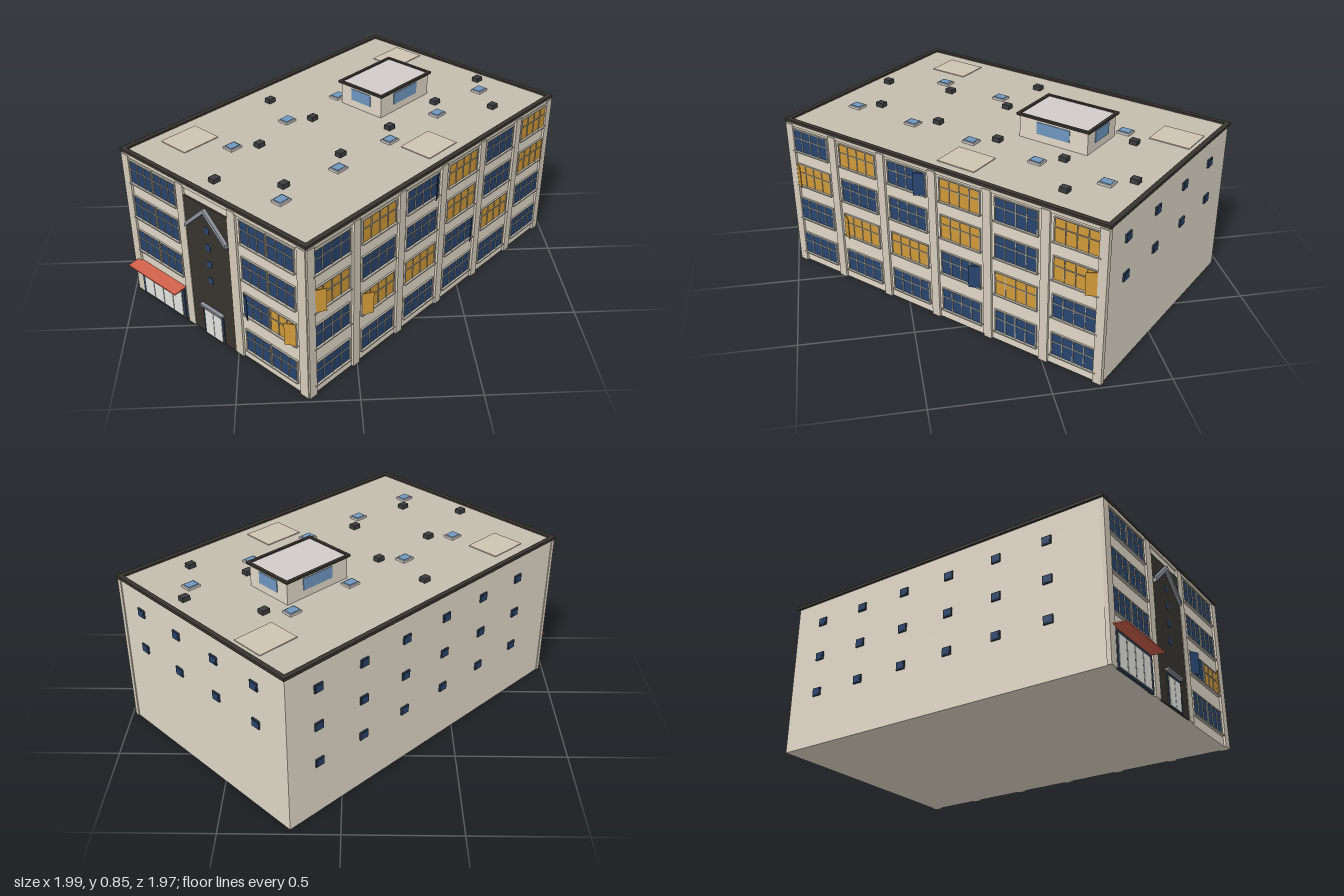
import * as THREE from 'three';

const mat = (color, side = THREE.FrontSide) => new THREE.MeshStandardMaterial({ color, side });
const M = {
  wall: mat(0xe0d8c8), pilaster: mat(0xd6cdbc), roof: mat(0xc4bdae), dark: mat(0x38342f),
  glass: mat(0x27446e), lit: mat(0xd09a38), frame: mat(0xb9b3a6), sky: mat(0x6f97c0),
  awning: mat(0xd0604c), white: mat(0xe4e4e0), steel: mat(0x8d929c), patch: mat(0xcfc4b2),
  navy: mat(0x2c3a4c), pale: mat(0xd2ccca), vent: mat(0x3c3c40),
};

// Box whose y is given at its bottom
function box(parent, name, m, w, h, d, x, y, z) {
  const b = new THREE.Mesh(new THREE.BoxGeometry(w, h, d), m);
  b.position.set(x, y + h / 2, z);
  b.name = name;
  parent.add(b);
  return b;
}

// A facade group: local x runs along the wall, local z points outward
function facade(parent, name, angle, dist) {
  const g = new THREE.Group();
  g.name = name;
  g.rotation.y = angle;
  g.position.set(Math.sin(angle) * dist, 0, Math.cos(angle) * dist);
  parent.add(g);
  return g;
}

// Glazed window with frame, bars and an optional sash standing ajar
function paneWindow(parent, x, y, w, h, cols, glass, ajar) {
  const g = new THREE.Group();
  g.name = 'window';
  g.position.set(x, y, 0);
  box(g, 'glass', glass, w, h, 0.006, 0, -h / 2, 0.001);
  box(g, 'sill', M.frame, w + 0.012, 0.006, 0.016, 0, -h / 2 - 0.006, 0.006);
  box(g, 'head', M.frame, w + 0.006, 0.004, 0.01, 0, h / 2, 0.003);
  for (let i = 0; i <= cols; i++) {
    const edge = i === 0 || i === cols;
    box(g, 'upright', M.frame, edge ? 0.005 : 0.0035, h, 0.009, -w / 2 + (w * i) / cols, -h / 2, 0.003);
  }
  box(g, 'transom', M.frame, w, 0.0035, 0.009, 0, h * 0.1, 0.003);
  if (ajar) {
    const hinge = new THREE.Group();
    hinge.name = 'openSash';
    hinge.position.set(ajar * w / 2, 0, 0.006);
    hinge.rotation.y = ajar * 0.5;
    box(hinge, 'sashPane', glass, w / cols, h, 0.004, -ajar * w / cols / 2, -h / 2, 0);
    g.add(hinge);
  }
  parent.add(g);
}

function smallWindow(parent, x, y) {
  box(parent, 'smallWindowFrame', M.navy, 0.044, 0.038, 0.014, x, y - 0.019, 0);
  box(parent, 'smallWindowGlass', M.glass, 0.032, 0.028, 0.004, x, y - 0.014, 0.006);
}

// Flat slab surrounded by a rim
function rimmedRoof(parent, name, w, d, x, z, y, top, rim, slab) {
  box(parent, name, slab, w - rim, 0.01, d - rim, x, y - 0.01, z);
  for (const s of [-1, 1]) {
    box(parent, name + 'Rim', M.dark, w, top - y + 0.004, rim, x, y - 0.004, z + s * (d - rim) / 2);
    box(parent, name + 'Rim', M.dark, rim, top - y + 0.004, d - rim * 2, x + s * (w - rim) / 2, y - 0.004, z);
  }
}

export function createModel() {
  const model = new THREE.Group();
  model.name = 'building';
  const b = new THREE.Group();
  b.name = 'block';
  b.rotation.y = Math.PI / 4;
  model.add(b);

  const HL = 0.834, HW = 0.544, ROWS = [0.103, 0.293, 0.472, 0.648];
  box(b, 'walls', M.wall, HL * 2, 0.73, HW * 2, 0, 0, 0);
  rimmedRoof(b, 'roof', 1.686, 1.106, 0, 0, 0.736, 0.745, 0.022, M.roof);

  // Long front: six bays between pilasters, some windows lit
  const long = facade(b, 'longFront', 0, HW);
  const litRows = ['000000', '011010', '100101', '010101'];
  const ajarSide = { '3,2': 1, '2,0': -1, '1,3': 1, '2,5': 1, '1,1': -1 };
  for (let i = 0; i <= 6; i++) {
    const end = i === 0 ? 1 : i === 6 ? -1 : 0;
    box(long, 'pilaster', M.pilaster, 0.04, 0.725, 0.022, (-0.84 + 0.28 * i) + end * 0.021, 0, 0);
    if (i === 6) break;
    const x = -0.7 + 0.28 * i;
    ROWS.forEach((y, r) => paneWindow(long, x, y, 0.204, 0.106, 4,
      litRows[r][i] === '1' ? M.lit : M.glass, ajarSide[r + ',' + i]));
  }
  box(long, 'topBand', M.pilaster, 1.67, 0.014, 0.014, 0, 0.716, 0);

  // Entrance end: two window bays either side of a dark stair bay
  const entry = facade(b, 'entranceEnd', -Math.PI / 2, HL);
  for (const x of [-0.525, -0.166, 0.145, 0.525])
    box(entry, 'pilaster', M.pilaster, 0.045, 0.725, 0.02, x, 0, 0);
  box(entry, 'topBand', M.pilaster, 1.09, 0.014, 0.014, 0, 0.716, 0);
  [-0.428, -0.274, 0.26, 0.412].forEach((x, i) => ROWS.forEach((y, r) => {
    if (i < 2 && r === 0) return;
    const lit = i === 3 && r === 1;
    paneWindow(entry, x, y, 0.142, 0.106, 3, lit ? M.lit : M.glass, lit ? 1 : i === 2 && r === 1 ? -1 : 0);
  }));

  // Stair bay with slit windows, gable trim and door
  box(entry, 'stairBay', M.dark, 0.264, 0.68, 0.012, -0.01, 0, 0.002);
  for (let i = 0; i < 4; i++)
    box(entry, 'stairWindow', M.glass, 0.026, 0.03, 0.006, -0.01, 0.295 + i * 0.084, 0.007);
  const gable = new THREE.Shape([[-0.125, 0.55], [0, 0.665], [0.125, 0.55], [0.125, 0.57],
    [0, 0.687], [-0.125, 0.57]].map(([x, y]) => new THREE.Vector2(x, y - 0.015)));
  const trim = new THREE.Mesh(new THREE.ExtrudeGeometry(gable, { depth: 0.022, bevelEnabled: false }), M.steel);
  trim.name = 'gableTrim';
  trim.position.set(-0.01, 0, 0.002);
  entry.add(trim);
  box(entry, 'doorFrame', M.navy, 0.13, 0.145, 0.014, -0.012, 0, 0.005);
  for (const s of [-1, 1])
    box(entry, 'doorLeaf', M.white, 0.051, 0.13, 0.006, -0.012 + s * 0.027, 0.004, 0.011);
  box(entry, 'doorCanopy', M.steel, 0.14, 0.01, 0.025, -0.012, 0.151, 0.012);

  // Shop front and awning
  box(entry, 'shopFrame', M.navy, 0.3, 0.165, 0.014, -0.355, 0, 0.004);
  for (let i = 0; i < 4; i++)
    box(entry, 'shopPane', M.white, 0.062, 0.142, 0.006, -0.355 + (i - 1.5) * 0.067, 0.01, 0.01);
  const awning = box(entry, 'awning', M.awning, 0.325, 0.006, 0.066, -0.36, 0.17, 0.034);
  awning.rotation.x = 0.1;

  // Plain sides with small windows
  const side = facade(b, 'plainEnd', Math.PI / 2, HL);
  for (const y of [0.44, 0.62])
    for (let i = 0; i < 4; i++) smallWindow(side, -0.392 + i * 0.252, y);
  const back = facade(b, 'plainBack', Math.PI, HW);
  for (const y of [0.26, 0.44, 0.62])
    for (let i = 0; i < 6; i++) smallWindow(back, -0.668 + i * 0.249, y);

  // Rooftop room with a window on each side
  const room = new THREE.Group();
  room.name = 'rooftopRoom';
  room.position.set(0.3, 0, -0.03);
  b.add(room);
  box(room, 'roomWalls', M.wall, 0.342, 0.11, 0.238, 0, 0.73, 0);
  rimmedRoof(room, 'roomRoof', 0.364, 0.26, 0, 0, 0.844, 0.85, 0.014, M.pale);
  for (let k = 0; k < 4; k++) {
    const f = facade(room, 'roomSide', k * Math.PI / 2, k % 2 ? 0.171 : 0.119);
    box(f, 'roomWindow', M.sky, k % 2 ? 0.115 : 0.165, 0.055, 0.006, 0, 0.772, 0);
  }

  // Rooftop pieces, placed by plan position
  const onRoof = (list, name, m, w, h, d, y = 0.734) => list.forEach(([x, z]) =>
    box(b, name, m, w, h, d, (x - z) * Math.SQRT1_2, y, (x + z) * Math.SQRT1_2));
  onRoof([[0.295, -0.7], [-0.695, 0.13], [0.34, 0.235]], 'roofPatch', M.patch, 0.19, 0.006, 0.155);
  const skylights = [[0.205, -0.495], [-0.03, -0.255], [0.65, -0.285], [-0.27, -0.02], [0.415, -0.05],
    [-0.505, 0.215], [0.175, 0.19], [-0.06, 0.42], [-0.295, 0.655]];
  onRoof(skylights, 'skylightCurb', M.pale, 0.062, 0.012, 0.052);
  onRoof(skylights, 'skylightGlass', M.sky, 0.05, 0.004, 0.04, 0.745);
  onRoof([[0.32, -0.5], [-0.35, -0.22], [0.66, -0.4], [0.42, -0.165], [0.68, -0.105], [-0.155, -0.03],
    [0.185, 0.075], [-0.39, 0.205], [-0.045, 0.305], [-0.565, 0.49], [-0.285, 0.545]],
  'roofVent', M.vent, 0.038, 0.023, 0.032);
  return model;
}
